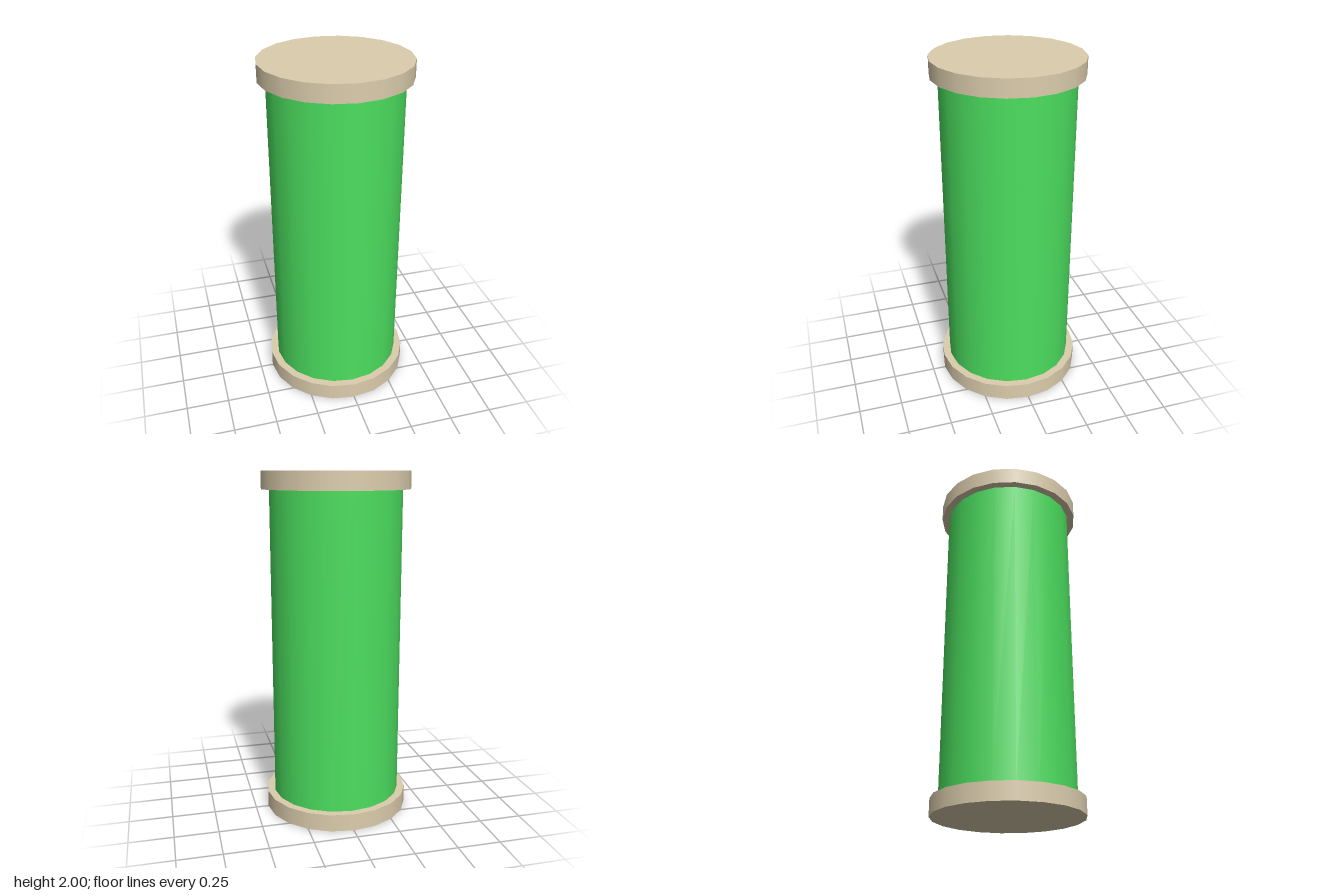
import * as THREE from 'three';

const SIDES = 20;

export function createModel() {
  const model = new THREE.Group();
  const green = new THREE.MeshStandardMaterial({ color: 0x4cdf5f });
  const tan = new THREE.MeshStandardMaterial({ color: 0xdccdad });

  // Upright 20-sided cylinder standing on the given height
  const addCylinder = (name, radius, height, bottom, material) => {
    const mesh = new THREE.Mesh(new THREE.CylinderGeometry(radius, radius, height, SIDES), material);
    mesh.name = name;
    mesh.position.y = bottom + height / 2;
    model.add(mesh);
  };

  // Tube body between two wider end caps
  addCylinder('body', 0.38, 1.8, 0.1, green);
  addCylinder('bottomCap', 0.425, 0.1, 0, tan);
  addCylinder('topCap', 0.425, 0.1, 1.9, tan);

  return model;
}
